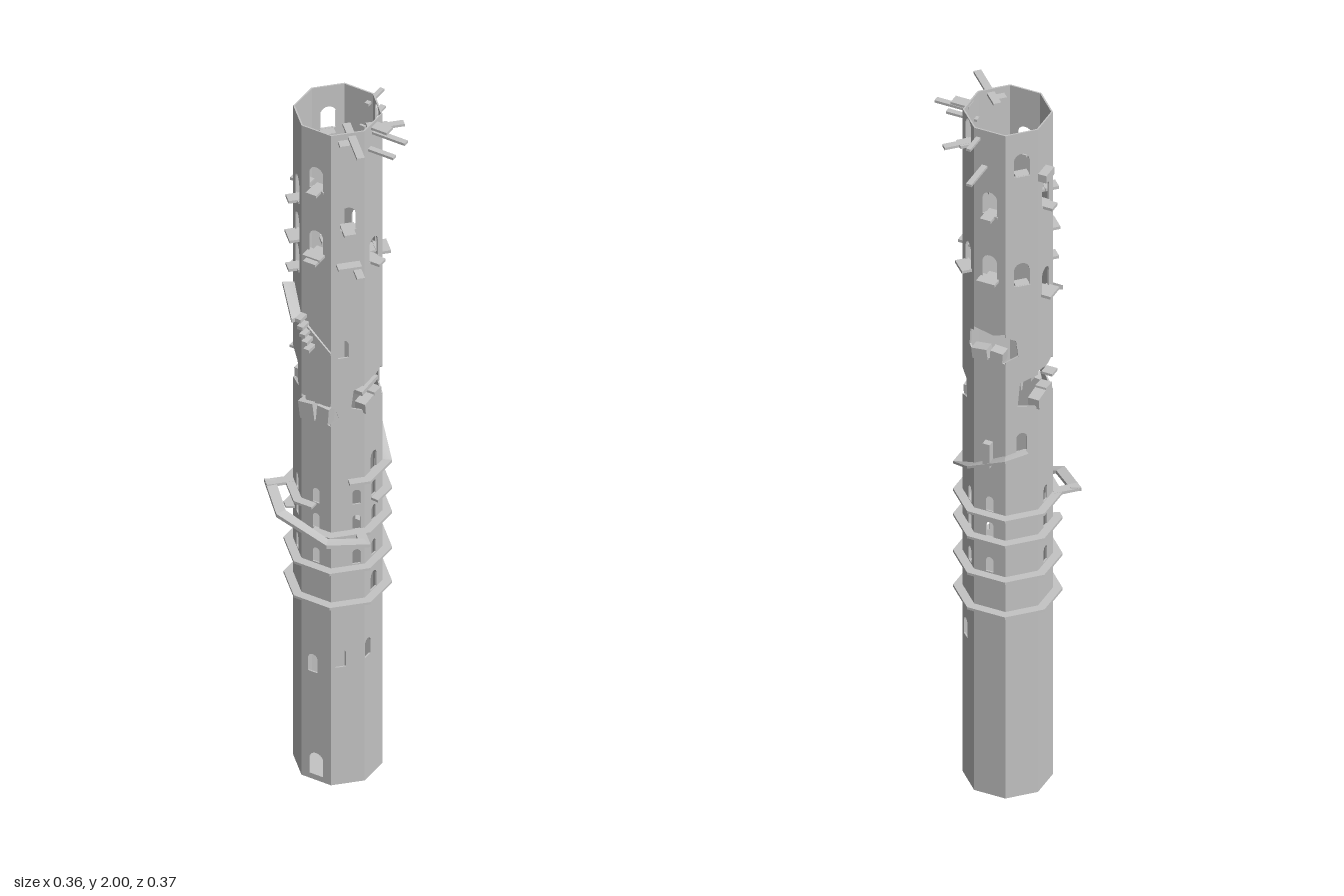
import * as THREE from 'three';

const R = 0.103, TAN = Math.tan(Math.PI / 8), HALF = R * TAN, WALL = 0.004;
const stone = new THREE.MeshStandardMaterial({ color: 0xc4c4c4 });
stone.name = 'grey stone';

// Faces are numbered 0..7 from the front (+z) turning towards +x.
// tall: sill heights of centred windows; low: [u, sill] of smaller windows;
// rows: u of the three small rows; gap: breach heights; reach: how far it bites into both neighbours
const FACES = [
  { tall: [1.82, 1.625, 0.016], low: [[-0.01, 0.33]], rows: 0, gap: [1.105, 1.175], reach: 0.02 },
  { tall: [1.705], low: [[-0.012, 1.31], [-0.018, 0.36]], rows: 0.022 },
  { tall: [1.58], low: [[-0.028, 0.375], [0, 0.935], [0, 0.565]], rows: 0, gap: [1.135, 1.23], reach: 0.034 },
  { tall: [1.93, 1.56], low: [[-0.02, 0.425]], rows: 0.012 },
  { tall: [1.75, 1.56], low: [], rows: 0, gap: [1.31, 1.4], reach: 0.034 },
  { tall: [1.87, 1.54], low: [[0, 1.04]] },
  { tall: [1.75, 1.49], low: [], rows: 0, gap: [1.16, 1.27], reach: 0.053 },
  { tall: [1.75, 1.635, 1.54], low: [], rows: 0 },
];

// Arched window opening
function arch(u, y, w, h) {
  const p = new THREE.Path(), r = w / 2;
  p.moveTo(u - r, y);
  p.lineTo(u + r, y);
  p.lineTo(u + r, y + h - r);
  p.absarc(u, y + h - r, r, 0, Math.PI, false);
  p.lineTo(u - r, y);
  return p;
}

// Bite points going up one edge (side 1 right, -1 left) next to a breached face
function bite(side, face) {
  if (!face.gap) return [];
  const [a, b] = face.gap, u = HALF - face.reach;
  return [[HALF, a + 0.005], [u, a + 0.017], [u + 0.006, b - 0.025], [HALF, b - 0.01]].map(([x, y]) => [side * x, y]);
}

// One stretch of wall, with broken edges and the holes that fall within it
function wallPanel(k, y0, y1) {
  const face = FACES[k];
  const within = pts => pts.filter(p => p[1] > y0 && p[1] < y1);
  const pts = [
    [-HALF, y0], [0.01, y0 > 0 ? y0 - 0.012 : y0], [HALF, y0],
    ...within(bite(1, FACES[(k + 1) % 8])),
    [HALF, y1], [-0.01, y1 < 2 ? y1 + 0.008 : y1], [-HALF, y1],
    ...within(bite(-1, FACES[(k + 7) % 8])).reverse(),
  ];
  const shape = new THREE.Shape(pts.map(p => new THREE.Vector2(...p)));
  const rows = face.rows === undefined ? [] : [0.855, 0.778, 0.672].map(y => [face.rows, y]);
  shape.holes = [
    ...within(face.tall.map(y => [0, y])).map(([u, y]) => arch(u, y, 0.04, 0.067)),
    ...within(face.low).map(([u, y]) => arch(u, y, 0.027, 0.054)),
    ...within(rows).map(([u, y]) => arch(u, y, 0.02, 0.044)),
  ];
  const geo = new THREE.ExtrudeGeometry(shape, { depth: WALL, bevelEnabled: false, curveSegments: 5 });
  return geo.translate(0, 0, R - WALL);
}

// Ledge segment along one face; t runs -1..1 from left to right corner, heights may slope
function ledgeGeometry(yL, yR, t0 = -1, t1 = 1, rin = R - 0.002, rout = R + 0.022, thick = 0.007) {
  const geo = new THREE.BoxGeometry(1, 1, 1), p = geo.attributes.position;
  for (let i = 0; i < p.count; i++) {
    const r = p.getZ(i) > 0 ? rout : rin, left = p.getX(i) < 0;
    p.setXYZ(i, (left ? t0 : t1) * TAN * r, (left ? yL : yR) + p.getY(i) * thick, r);
  }
  geo.computeVertexNormals();
  return geo;
}

export function createModel() {
  const tower = new THREE.Group();
  tower.name = 'ruinedTower';
  const sides = FACES.map((face, k) => {
    const g = new THREE.Group();
    g.name = 'side' + k;
    g.position.set(-0.037, 0, 0.009);
    g.rotation.y = k * Math.PI / 4;
    tower.add(g);
    return g;
  });
  const add = (k, name, geo) => {
    const m = new THREE.Mesh(geo, stone);
    m.name = name;
    sides[k].add(m);
    return m;
  };
  const ledge = (k, ...args) => add(k, 'ledge', ledgeGeometry(...args));
  // Box on a face: u, y, distance out from the wall, width, height, depth, tilt
  const slab = (k, name, u, y, out, w, h, d, tilt = 0) => {
    const m = add(k, name, new THREE.BoxGeometry(w, h, d));
    m.position.set(u, y, R + out);
    m.rotation.z = tilt;
  };

  FACES.forEach(({ tall, gap }, k) => {
    // Walls, split where a breach runs right across
    if (gap) {
      add(k, 'wall', wallPanel(k, 0, gap[0]));
      add(k, 'wall', wallPanel(k, gap[1], 2));
    } else add(k, 'wall', wallPanel(k, 0, 2));
    // Broken sills, jutting out under alternate windows
    tall.filter(y => y > 1).forEach((y, i) => {
      slab(k, 'sill', 0.004, y - 0.004, -0.012, 0.036, 0.007, 0.03);
      if (k !== 5) slab(k, 'outerSill', 0, y - 0.003, 0.008, 0.03 + 0.02 * (i % 2), 0.008, 0.036);
    });
    // Rubble lodged in the breach: two lumps and a cross slab
    if (gap) {
      const [a, b] = gap, tall = k === 0 ? 0.05 : 0.03;
      slab(k, 'rubble', -0.026, a + tall / 2, -0.01, 0.042, tall, 0.03, 0.12);
      slab(k, 'rubble', 0.018, a + tall / 2, -0.014, 0.034, tall, 0.03, -0.08);
      if (k < 4) slab(k, 'rubble', 0, b - 0.014, -0.025, 0.07, 0.013, 0.035, 0.06);
    }
  });
  slab(2, 'rubble', 0, 1.185, -0.025, 0.075, 0.012, 0.03, 0.08);

  // Floor
  const radius = R / Math.cos(Math.PI / 8) - 0.001;
  const floor = new THREE.Mesh(new THREE.CylinderGeometry(radius, radius, 0.006, 8, 1, false, Math.PI / 8), stone);
  floor.name = 'floor';
  floor.position.set(-0.037, 0.003, 0.009);
  tower.add(floor);

  // Ring ledges
  for (let k = 0; k < 8; k++) {
    ledge(k, 0.56, 0.56);
    ledge(k, 0.665, 0.665);
    ledge(k, 0.775, 0.775, k === 0 ? -0.1 : -1, k === 7 ? -0.6 : 1);
    if (k !== 1) ledge(k, 0.85, 0.85, k === 2 ? -0.3 : -1, k === 0 ? 0 : 1);
  }
  // Upper ledge climbing round the back to a doorway
  ledge(1, 0.932, 0.932, 0);
  ledge(2, 0.932, 0.932);
  ledge(3, 0.932, 0.985);
  ledge(4, 0.985, 1.03);
  ledge(5, 1.03, 1.04, -1, 0.2);
  slab(4, 'brokenPost', 0, 1.035, 0.012, 0.02, 0.07, 0.018);

  // Hanging walkway that slopes down across the front
  ledge(7, 0.85, 0.832, -0.75, 1, 0.148, 0.174, 0.01);
  ledge(0, 0.832, 0.79, -1, 1, 0.148, 0.174, 0.01);
  ledge(1, 0.79, 0.775, -1, 0.5, 0.148, 0.174, 0.01);
  slab(7, 'walkwayEnd', -0.04, 0.85, 0.035, 0.025, 0.008, 0.07);
  slab(1, 'walkwayEnd', 0.028, 0.775, 0.035, 0.025, 0.008, 0.07);

  // Outside stair remains
  ledge(7, 1.46, 1.41, -0.7, 1, R - 0.002, R + 0.028, 0.012);
  ledge(0, 1.41, 1.33, -1, 1, R - 0.002, R + 0.006, 0.006);
  for (let i = 0; i < 5; i++)
    slab(0, 'stairStep', -0.035 + i * 0.006, 1.42 - i * 0.021, 0.015, 0.016, 0.01, 0.03);

  // Long splintered planks: face, u, y, distance out, width, depth
  const planks = [
    [2, 0, 1.972, 0.045, 0.016, 0.098],
    [2, 0.003, 1.988, 0.02, 0.03, 0.05],
    [2, -0.02, 1.932, 0.03, 0.015, 0.085],
    [1, 0.01, 1.988, 0.02, 0.02, 0.15],
    [1, -0.008, 1.978, 0, 0.035, 0.05],
    [1, 0.024, 1.575, 0.01, 0.02, 0.06],
    [1, 0, 1.6, 0.01, 0.06, 0.03],
    [4, -0.014, 1.892, 0.04, 0.015, 0.101],
    [4, -0.031, 1.972, 0.02, 0.012, 0.075],
    [3, 0, 1.928, 0.025, 0.018, 0.08],
    [0, 0.005, 1.618, 0.015, 0.035, 0.055],
    [6, 0.01, 1.24, 0.006, 0.03, 0.03],
  ];
  for (const [k, u, y, out, w, d] of planks) slab(k, 'plank', u, y, out, w, 0.007, d);
  slab(6, 'brokenBlock', -0.02, 1.855, 0.008, 0.045, 0.022, 0.03);
  return tower;
}
